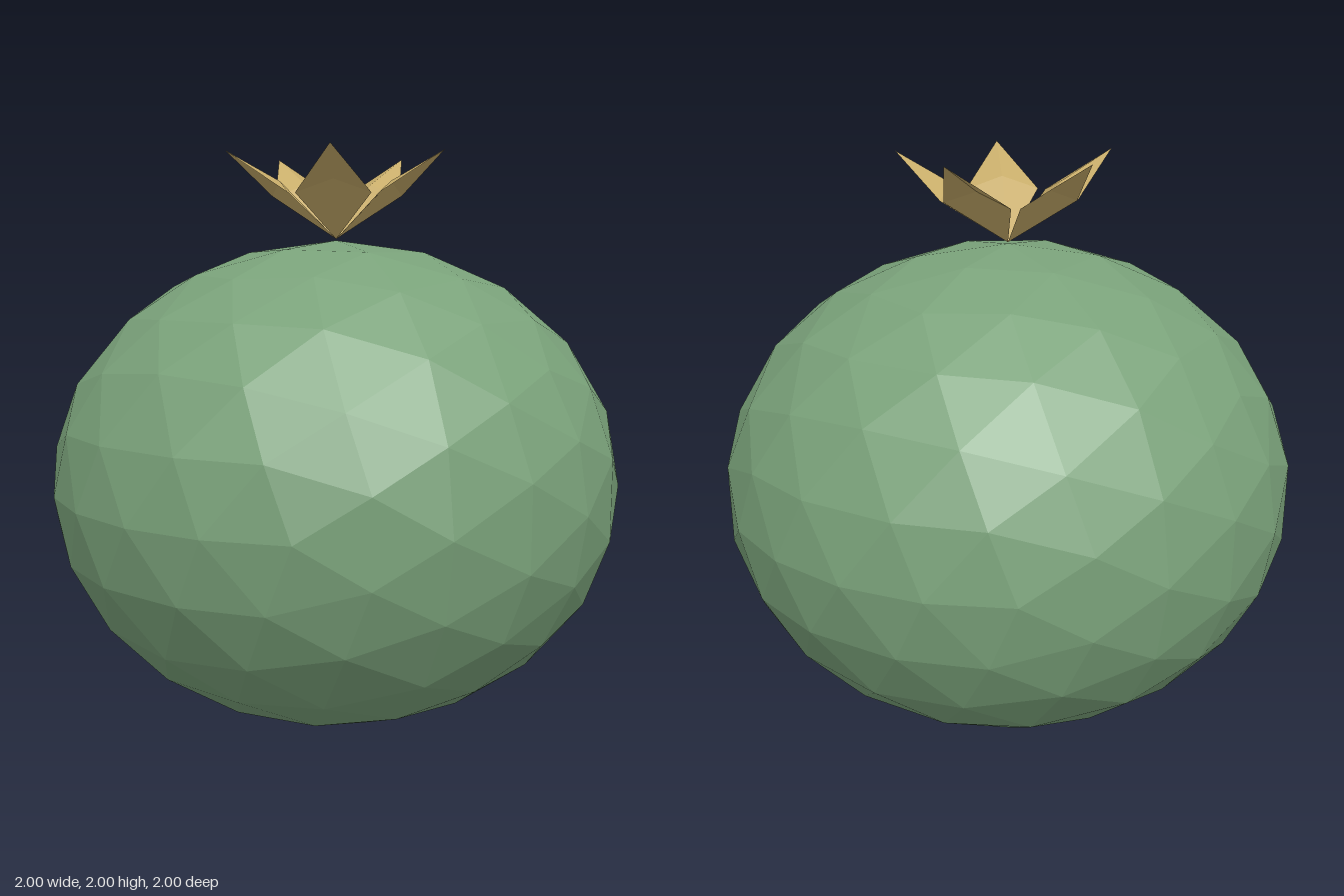
import * as THREE from 'three';

const podGreen = new THREE.MeshStandardMaterial({ color: 0x7aa27a });
podGreen.name = 'pod green';
const dryGold = new THREE.MeshStandardMaterial({ color: 0xc8ad6a, side: THREE.DoubleSide });
dryGold.name = 'dry gold';

// Faceted geometry from a flat list of triangle corners
function facets(corners) {
  const geometry = new THREE.BufferGeometry().setFromPoints(corners);
  geometry.computeVertexNormals();
  return geometry;
}

// Unit sphere made by halving every edge of an icosahedron, level by level
function icosphere(levels) {
  const pos = new THREE.IcosahedronGeometry(1, 0).getAttribute('position');
  let corners = [];
  for (let i = 0; i < pos.count; i++) corners.push(new THREE.Vector3().fromBufferAttribute(pos, i));
  const mid = (p, q) => p.clone().add(q).normalize();
  for (let level = 0; level < levels; level++) {
    const next = [];
    for (let i = 0; i < corners.length; i += 3) {
      const [a, b, c] = corners.slice(i, i + 3);
      const ab = mid(a, b), bc = mid(b, c), ca = mid(c, a);
      next.push(a, ab, ca, ab, b, bc, ca, bc, c, ab, bc, ca);
    }
    corners = next;
  }
  return corners;
}

// Kite-shaped leaf with a raised middle, pointing along +x
function sepalGeometry() {
  const base = new THREE.Vector3(0, 0, 0);
  const left = new THREE.Vector3(0.2, 0.15, -0.127);
  const right = new THREE.Vector3(0.2, 0.15, 0.127);
  const middle = new THREE.Vector3(0.2, 0.195, 0);
  const tip = new THREE.Vector3(0.39, 0.295, 0);
  return facets([
    base, right, middle, base, middle, left,
    middle, right, tip, middle, tip, left,
  ]);
}

export function createModel() {
  const model = new THREE.Group();

  // Slightly squashed round pod
  const points = icosphere(2).map((p) => new THREE.Vector3(p.x, 0.85 + p.y * 0.85, p.z));
  const pod = new THREE.Mesh(facets(points), podGreen);
  pod.name = 'pod';
  model.add(pod);

  // Crown of five leaves
  const crown = new THREE.Group();
  crown.name = 'crown';
  crown.position.y = 1.705;
  const geometry = sepalGeometry();
  for (let i = 0; i < 5; i++) {
    const sepal = new THREE.Mesh(geometry, dryGold);
    sepal.name = 'sepal';
    sepal.rotation.y = (i * Math.PI * 2) / 5;
    crown.add(sepal);
  }
  model.add(crown);
  return model;
}
